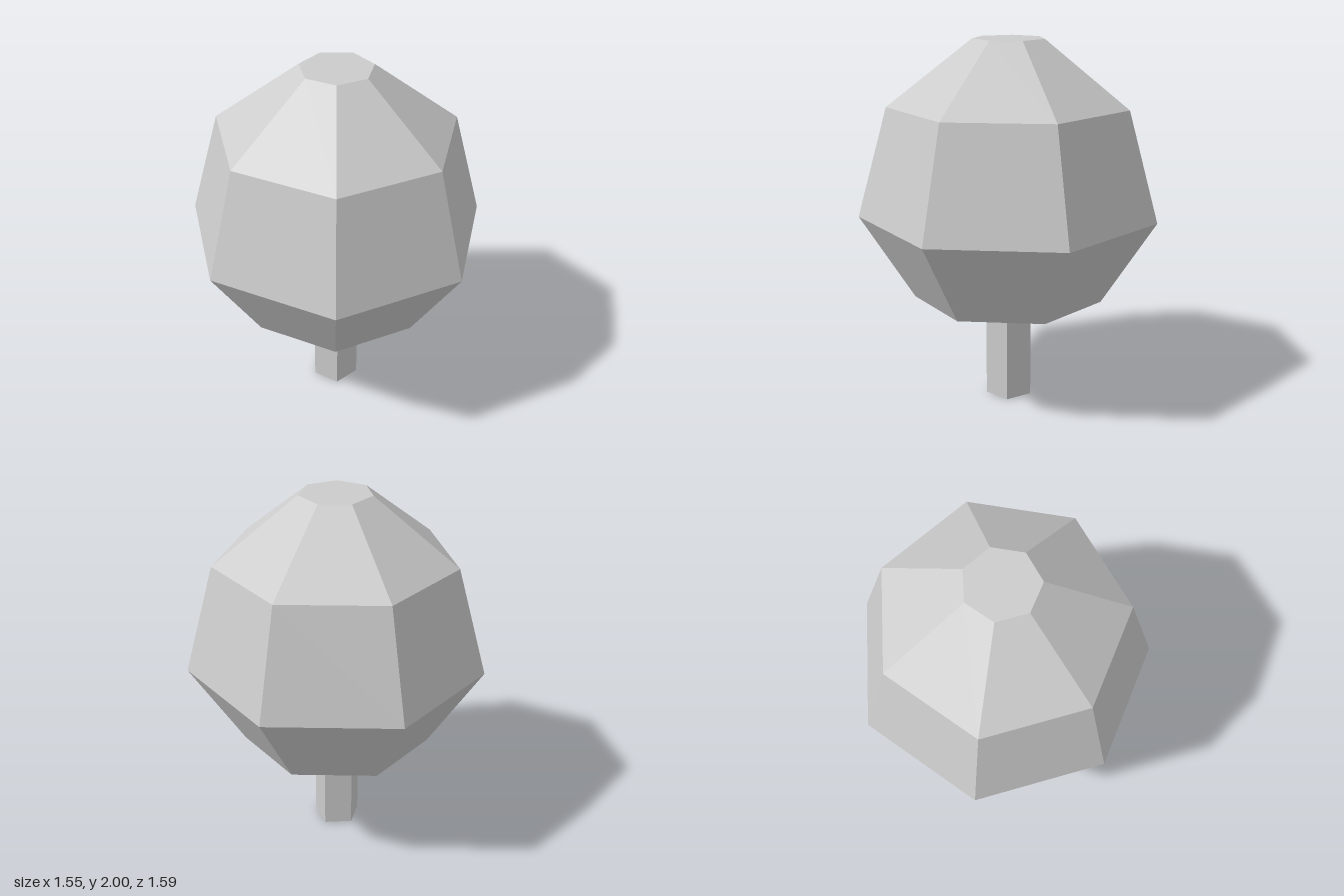
import * as THREE from 'three';

export function createModel() {
  const tree = new THREE.Group();
  tree.name = 'tree';

  const grey = new THREE.MeshStandardMaterial({ color: 0xcccccc, flatShading: true });
  grey.name = 'light grey';

  const axisX = 0.04; // shared vertical axis of trunk and crown

  const addPart = (name, geometry, y) => {
    const flat = geometry.toNonIndexed(); // separate faces for faceted normals
    flat.computeVertexNormals();
    const mesh = new THREE.Mesh(flat, grey);
    mesh.name = name;
    mesh.position.set(axisX, y, 0);
    tree.add(mesh);
  };

  // Five-sided trunk, one corner towards +x
  const trunkHeight = 0.6;
  addPart('trunk',
    new THREE.CylinderGeometry(0.131, 0.131, trunkHeight, 5, 1, false, Math.PI / 2),
    trunkHeight / 2);

  // Seven-sided crown, one corner towards -x, closed at both ends
  const profile = [
    [0, 0.595], [0.523, 0.595], [0.815, 1.062], [0.651, 1.65], [0.195, 2], [0, 2],
  ].map(([r, y]) => new THREE.Vector2(r, y));
  addPart('crown', new THREE.LatheGeometry(profile, 7, -Math.PI / 2), 0);

  return tree;
}
